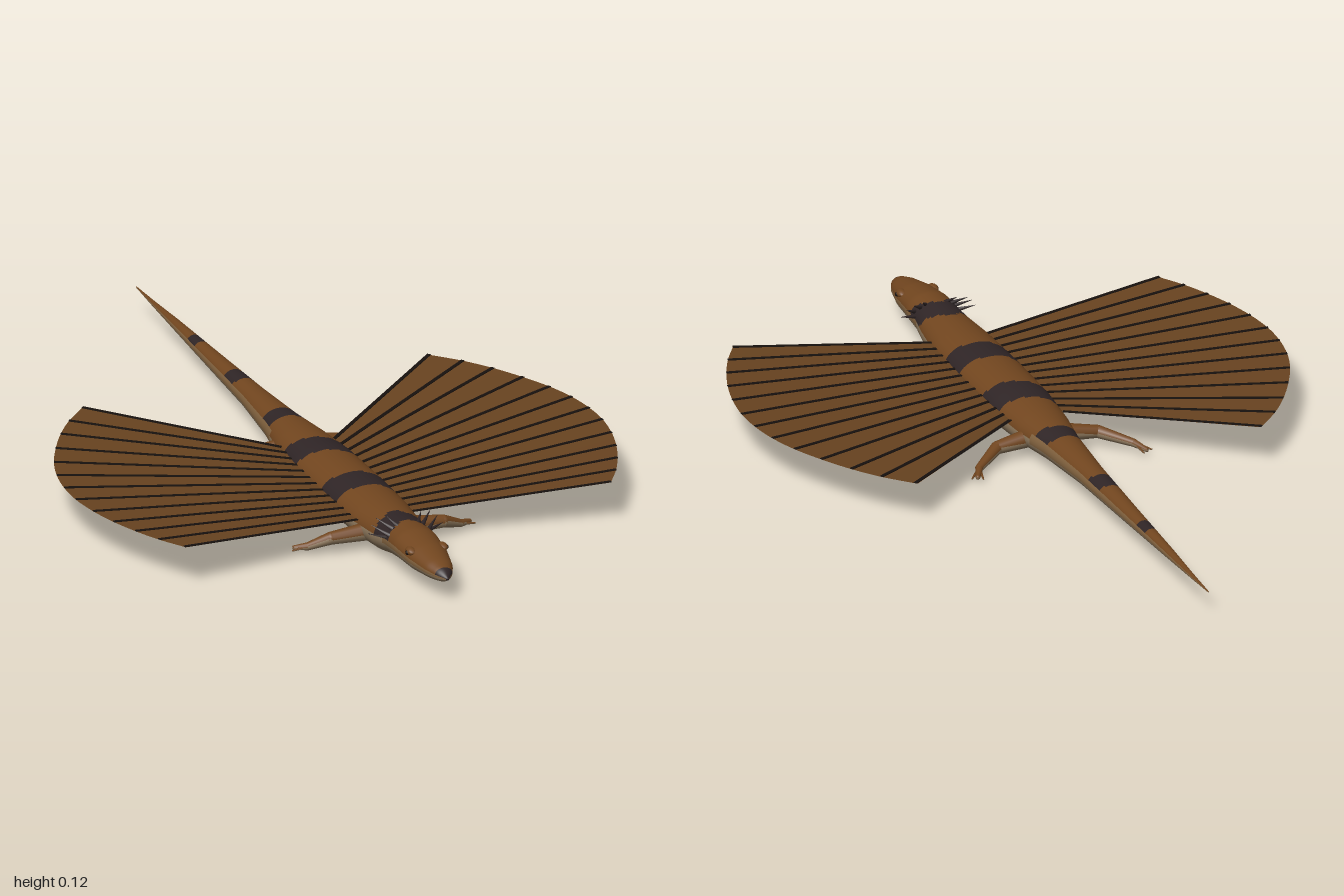
import * as THREE from 'three';

const mat = (name, color) => {
  const m = new THREE.MeshStandardMaterial({ color });
  m.name = name;
  return m;
};

export function createModel() {
  const group = new THREE.Group();
  const brown = mat('brown scales', 0x72461f);
  const band = mat('dark bands', 0x2f2526);
  const flank = mat('flank brown', 0x83633f);
  const tan = mat('tan belly', 0x8e785c);
  const wing = mat('wing brown', 0x684320);
  const black = mat('rib black', 0x17110e);
  const add = (name, geo, material) => {
    const m = new THREE.Mesh(geo, material);
    m.name = name;
    group.add(m);
    return m;
  };
  // Set the index as one group per material
  const setGroups = (geo, lists) => {
    geo.setIndex(lists.flat());
    geo.clearGroups();
    let start = 0;
    lists.forEach((f, k) => { geo.addGroup(start, f.length, k); start += f.length; });
  };

  // Body stations: z, half width, top, bottom
  const stations = [
    [0.995, 0.004, 0.068, 0.06], [0.975, 0.021, 0.083, 0.05], [0.94, 0.036, 0.094, 0.044],
    [0.87, 0.051, 0.108, 0.037], [0.79, 0.058, 0.118, 0.035], [0.73, 0.058, 0.117, 0.026],
    [0.67, 0.066, 0.113, 0.014], [0.57, 0.078, 0.113, 0.008], [0.4, 0.083, 0.114, 0.004],
    [0.2, 0.081, 0.112, 0.005], [0.06, 0.069, 0.106, 0.011], [-0.06, 0.05, 0.1, 0.022],
    [-0.25, 0.034, 0.093, 0.035], [-0.5, 0.023, 0.085, 0.043], [-0.75, 0.013, 0.077, 0.053],
    [-0.9, 0.006, 0.07, 0.059], [-1.0, 0.0015, 0.067, 0.064],
  ];
  const sample = (z) => {
    let i = 0;
    while (i < stations.length - 2 && stations[i + 1][0] > z) i++;
    const a = stations[i], b = stations[i + 1];
    const t = (a[0] - z) / (a[0] - b[0]);
    return a.map((v, k) => v + (b[k] - v) * t);
  };
  // Bands: front z, back z, slant across the back, bend at both sides
  const bands = [[0.725, 0.65, 0.1, 0.6], [0.48, 0.39, 0.12, 0], [0.235, 0.14, 0.25, 0],
    [-0.025, -0.085, 0.1, 0], [-0.31, -0.375, 0.2, 0], [-0.585, -0.635, 0.2, 0]];

  const rows = 240, sides = 40, pos = [], faces = [[], [], [], []];
  const zAt = (i) => 0.995 - 1.995 * i / rows;
  for (let i = 0; i <= rows; i++) {
    const [z, w, top, bottom] = sample(zAt(i));
    for (let j = 0; j < sides; j++) {
      const a = j / sides * Math.PI * 2;
      pos.push(w * Math.cos(a), (top + bottom) / 2 + (top - bottom) / 2 * Math.sin(a), z);
    }
  }
  for (let i = 0; i < rows; i++) {
    const z = zAt(i + 0.5);
    for (let j = 0; j < sides; j++) {
      const a = i * sides + j, b = i * sides + (j + 1) % sides, c = a + sides, d = b + sides;
      const angle = (j + 0.5) / sides * Math.PI * 2, h = Math.sin(angle);
      const x = sample(z)[1] * Math.cos(angle);
      const dark = z > 0.968 || bands.some(([f, k, s, bend]) => {
        const zz = z - s * x - bend * Math.abs(x);
        return zz < f && zz > k;
      });
      const edge = z < 0 ? 0.4 : 0.15;
      const low = z < 0 ? -0.15 : z > 0.72 ? -0.1 : edge;
      faces[h > edge ? (dark ? 1 : 0) : h > low ? 2 : 3].push(a, c, b, b, c, d);
    }
  }
  // Close the nose and the tail tip
  const last = rows * sides;
  for (let j = 1; j < sides - 1; j++) {
    faces[1].push(0, j, j + 1);
    faces[0].push(last, last + j + 1, last + j);
  }
  const body = new THREE.BufferGeometry();
  body.setAttribute('position', new THREE.Float32BufferAttribute(pos, 3));
  setGroups(body, faces);
  body.computeVertexNormals();
  add('body', body, [brown, band, flank, tan]);

  const V = (x, y, z) => new THREE.Vector3(x, y, z);
  const UP = V(0, 1, 0);
  // Tapered rod between two points, in place
  const rodGeo = (a, b, r0, r1, n) => {
    const d = b.clone().sub(a);
    const g = new THREE.CylinderGeometry(r1, r0, d.length(), n);
    g.applyQuaternion(new THREE.Quaternion().setFromUnitVectors(UP, d.normalize()));
    return g.translate((a.x + b.x) / 2, (a.y + b.y) / 2, (a.z + b.z) / 2);
  };
  // Limb pieces are brown on upward faces and tan below
  const addLimb = (name, geo) => {
    const n = geo.attributes.normal, idx = geo.index.array, lists = [[], []];
    for (let i = 0; i < idx.length; i += 3) {
      const t = [idx[i], idx[i + 1], idx[i + 2]];
      const y = t.reduce((sum, v) => sum + n.getY(v), 0) / 3;
      lists[y > 0.15 ? 0 : 1].push(...t);
    }
    setGroups(geo, lists);
    add(name, geo, [brown, tan]);
  };

  // Wing rib tips: x, z, rear to front
  const rim = [[0.445, -0.24], [0.51, -0.17], [0.56, -0.1], [0.605, -0.02], [0.642, 0.06],
    [0.667, 0.14], [0.68, 0.22], [0.682, 0.3], [0.671, 0.385], [0.651, 0.465], [0.624, 0.54],
    [0.592, 0.61], [0.55, 0.68]];
  const rimCurve = new THREE.CatmullRomCurve3(rim.map(([x, z]) => V(x, 0.11, z)));
  const rootAt = (t) => V(0.068, 0.075, 0.095 + 0.5 * t);

  for (const s of [1, -1]) {
    const side = s > 0 ? 'left' : 'right';
    const N = 48, wp = [], up = [], down = [];
    for (let i = 0; i <= N; i++) {
      const r = rootAt(i / N), e = rimCurve.getPoint(i / N);
      wp.push(s * r.x, r.y, r.z, s * e.x, e.y, e.z);
      if (i < N) {
        const a = i * 2, q = [a, a + 2, a + 1, a + 1, a + 2, a + 3];
        const flip = [a, a + 1, a + 2, a + 1, a + 3, a + 2];
        up.push(...(s > 0 ? q : flip));
        down.push(...(s > 0 ? flip : q));
      }
    }
    // Membrane has separate upper and lower skins
    [[up, 'Upper', 0.001], [down, 'Lower', -0.002]].forEach(([idx, label, dy]) => {
      const g = new THREE.BufferGeometry();
      g.setAttribute('position', new THREE.Float32BufferAttribute(wp, 3));
      g.setIndex(idx);
      g.translate(0, dy, 0);
      g.computeVertexNormals();
      add(`${side}Wing${label}`, g, wing);
    });

    // Flat ribs lie on the upper skin, the end ones just inside its edges
    rim.forEach((_, i) => {
      const t = THREE.MathUtils.clamp(i / (rim.length - 1), 0.005, 0.995);
      const a = rootAt(t), e = rimCurve.getPoint(t);
      a.x *= s; e.x *= s;
      const rib = add(`${side}WingRib`, new THREE.BoxGeometry(0.0095, 0.0016, a.distanceTo(e)), black);
      rib.position.copy(a).add(e).multiplyScalar(0.5);
      rib.lookAt(e);
      rib.position.y += 0.0022;
    });

    // Legs: hip, elbow or knee, ankle, toe
    const legs = {
      FrontLeg: [V(0.05, 0.05, 0.608), V(0.145, 0.045, 0.606), V(0.197, 0.025, 0.588), V(0.226, 0.021, 0.575)],
      HindLeg: [V(0.045, 0.05, 0.04), V(0.13, 0.042, 0.03), V(0.2, 0.025, -0.03), V(0.218, 0.019, -0.066)],
    };
    const radii = [0.023, 0.016, 0.01, 0.006];
    for (const [name, p] of Object.entries(legs)) {
      p.forEach((v) => { v.x *= s; });
      for (let k = 0; k < 3; k++) {
        addLimb(side + name, rodGeo(p[k], p[k + 1], radii[k], radii[k + 1], 14));
        addLimb(side + name + 'Joint', new THREE.SphereGeometry(radii[k + 1], 12, 10).translate(...p[k + 1]));
      }
      // Splayed toes
      for (const o of [-0.014, 0, 0.014]) {
        const dir = p[3].clone().sub(p[2]).setY(0).normalize();
        const tip = p[3].clone().addScaledVector(dir, 0.006).add(V(-dir.z * o, -0.003, dir.x * o));
        addLimb(side + name + 'Toe', rodGeo(p[2], tip, 0.005, 0.002, 6));
      }
    }

    // Neck spikes
    [[0.048, 0.09, 0.75, 0.085, 0.112, 0.718], [0.05, 0.083, 0.738, 0.097, 0.094, 0.725],
      [0.038, 0.103, 0.74, 0.07, 0.125, 0.71], [0.026, 0.108, 0.74, 0.044, 0.127, 0.715]]
      .forEach(([x, y, z, x2, y2, z2]) => add(`${side}NeckSpike`,
        rodGeo(V(s * x, y, z), V(s * x2, y2, z2), 0.006, 0.0004, 6), band));

    // Brow and eye
    const brow = add(`${side}Brow`, new THREE.SphereGeometry(0.014, 12, 8), brown);
    brow.position.set(s * 0.041, 0.092, 0.86);
    brow.scale.set(0.9, 0.7, 1.4);
    add(`${side}Eye`, new THREE.SphereGeometry(0.006, 10, 8), black).position.set(s * 0.05, 0.09, 0.863);
  }
  return group;
}
